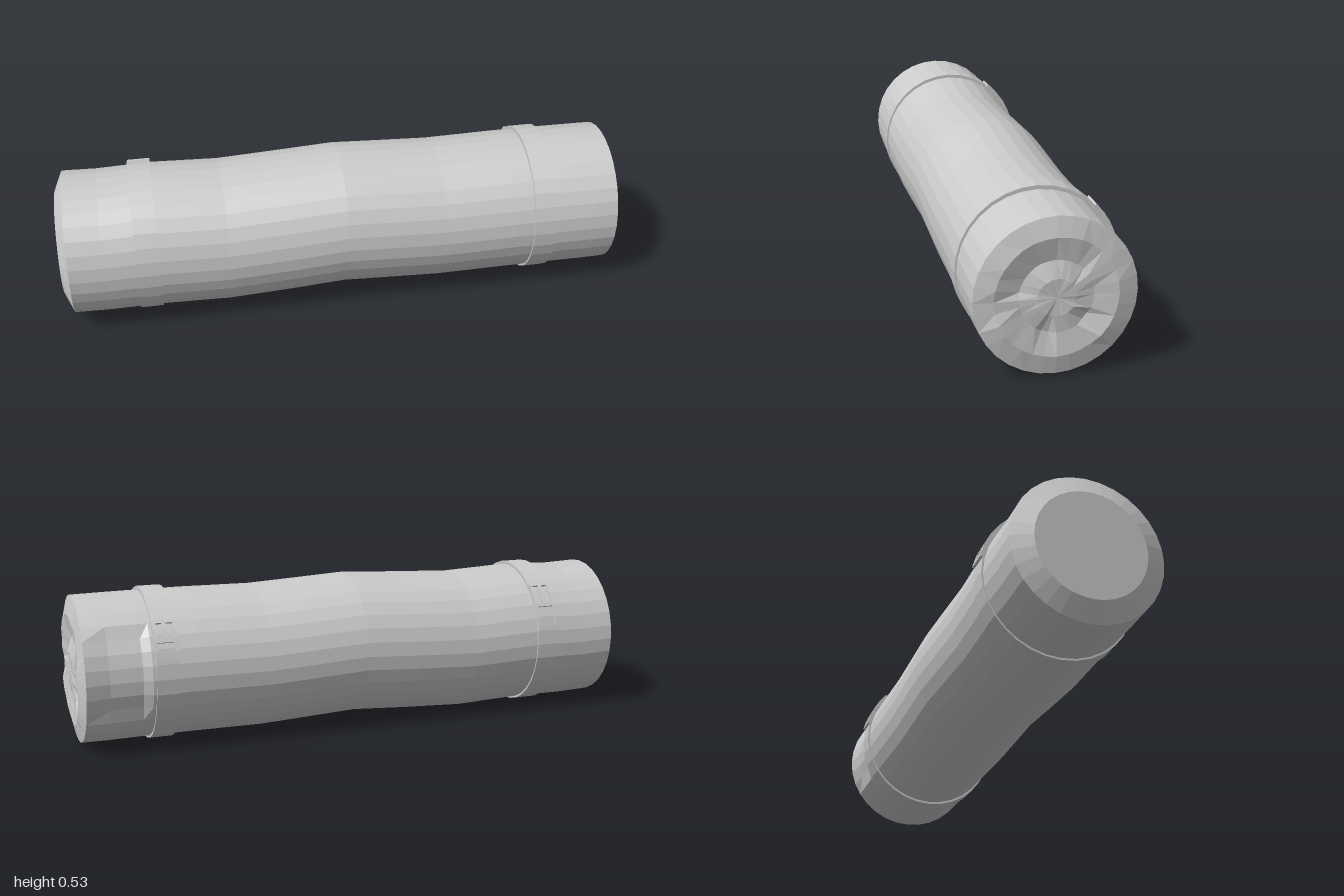
import * as THREE from 'three';

const SEG = 32;
const material = new THREE.MeshStandardMaterial({ color: 0xcccccc, flatShading: true });

// Small repeatable noise in -1..1
const noise = (i, j) => {
  const s = Math.sin(i * 12.99 + j * 78.23) * 43758.55;
  return 2 * (s - Math.floor(s)) - 1;
};

// Skin a series of rings [x, centreY, radius, wrinkle] along x
function loft(rings) {
  const pos = [], index = [];
  rings.forEach(([x, cy, r, wrinkle = 0], j) => {
    for (let i = 0; i < SEG; i++) {
      const a = (i / SEG) * Math.PI * 2; // 0 = top, rising towards the front
      const back = a - Math.PI * 1.5; // elevation on the back side
      // shallow fold in the cloth behind the right strap
      const dent = x > 0.77 && x < 0.95 && back > -0.5 && back < 0.75 ? 0.012 : 0;
      const rr = r - dent;
      pos.push(x - wrinkle * (0.5 + 0.5 * noise(i >> 1, j)),
        cy + rr * Math.cos(a), rr * Math.sin(a));
    }
  });
  for (let j = 0; j < rings.length - 1; j++) {
    for (let i = 0; i < SEG; i++) {
      const a = j * SEG + i, b = j * SEG + (i + 1) % SEG;
      const c = a + SEG, d = b + SEG;
      index.push(a, c, b, b, c, d);
    }
  }
  const g = new THREE.BufferGeometry();
  g.setAttribute('position', new THREE.Float32BufferAttribute(pos, 3));
  // Rings run +x with angle from +y to +z, so flip to face outwards
  for (let k = 0; k < index.length; k += 3) {
    [index[k + 1], index[k + 2]] = [index[k + 2], index[k + 1]];
  }
  g.setIndex(index);
  g.computeVertexNormals();
  return g;
}

// Bar bent round the roll on its back side, between two elevations in degrees
function bentBar(x, width, from, to, cy, radius, thick) {
  const a0 = THREE.MathUtils.degToRad(from), a1 = THREE.MathUtils.degToRad(to);
  const g = new THREE.BoxGeometry(width, thick, a1 - a0, 1, 1, Math.max(1, Math.round((to - from) / 9)));
  const p = g.attributes.position;
  for (let i = 0; i < p.count; i++) {
    const r = radius + p.getY(i), a = (a0 + a1) / 2 + p.getZ(i);
    p.setXYZ(i, x + p.getX(i), cy + r * Math.sin(a), -r * Math.cos(a));
  }
  g.computeVertexNormals();
  return g;
}

function add(parent, name, geometry) {
  const mesh = new THREE.Mesh(geometry, material);
  mesh.name = name;
  parent.add(mesh);
  return mesh;
}

function makeStrap(name, x, top) {
  const group = new THREE.Group();
  group.name = name;
  const cy = 0.27;

  // Band
  const profile = [[0.24, -0.04], [0.26, -0.04], [0.26, 0.04], [0.24, 0.04]]
    .map(([r, h]) => new THREE.Vector2(r, h));
  const band = add(group, 'strapBand', new THREE.LatheGeometry(profile, SEG).rotateZ(-Math.PI / 2));
  band.position.set(x, cy, 0);
  band.scale.y = 1.018;

  // Buckle frame: two rails, three cross bars and a prong
  const r = 0.262, t = 0.014, low = 12;
  for (const side of [-1, 1]) {
    add(group, 'buckleRail', bentBar(x + side * 0.034, 0.012, low, top, cy, r, t));
  }
  for (const k of [0, 0.5, 1]) {
    const a = low + k * (top - low - 3);
    add(group, 'buckleBar', bentBar(x, 0.08, a, a + 3, cy, r, t));
  }
  add(group, 'buckleProng', bentBar(x, 0.014, low + (top - low) / 2, top, cy, r, t));
  return group;
}

export function createModel() {
  const model = new THREE.Group();
  model.name = 'strappedRoll';

  // Gently sagging roll with a bevelled left-hand end
  add(model, 'rollBody', loft([
    [-1, 0.268, 0], [-1, 0.268, 0.185], [-0.97, 0.268, 0.253],
    [-0.85, 0.264, 0.253], [-0.66, 0.268, 0.255], [-0.42, 0.259, 0.254],
    [-0.2, 0.27, 0.254], [0, 0.282, 0.253], [0.2, 0.272, 0.253],
    [0.35, 0.265, 0.253], [0.6, 0.268, 0.254], [0.76, 0.268, 0.254],
    [0.79, 0.268, 0.254], [0.9, 0.267, 0.254], [0.98, 0.267, 0.253],
  ]));

  // Gathered, wrinkled end
  add(model, 'gatheredEnd', loft([
    [0.98, 0.267, 0.253], [1, 0.267, 0.191, 0.012], [0.99, 0.267, 0.115, 0.014],
    [0.996, 0.267, 0.06, 0.006], [0.992, 0.267, 0],
  ]));

  model.add(makeStrap('leftEndStrap', -0.7, 52), makeStrap('rightEndStrap', 0.71, 45));
  return model;
}
